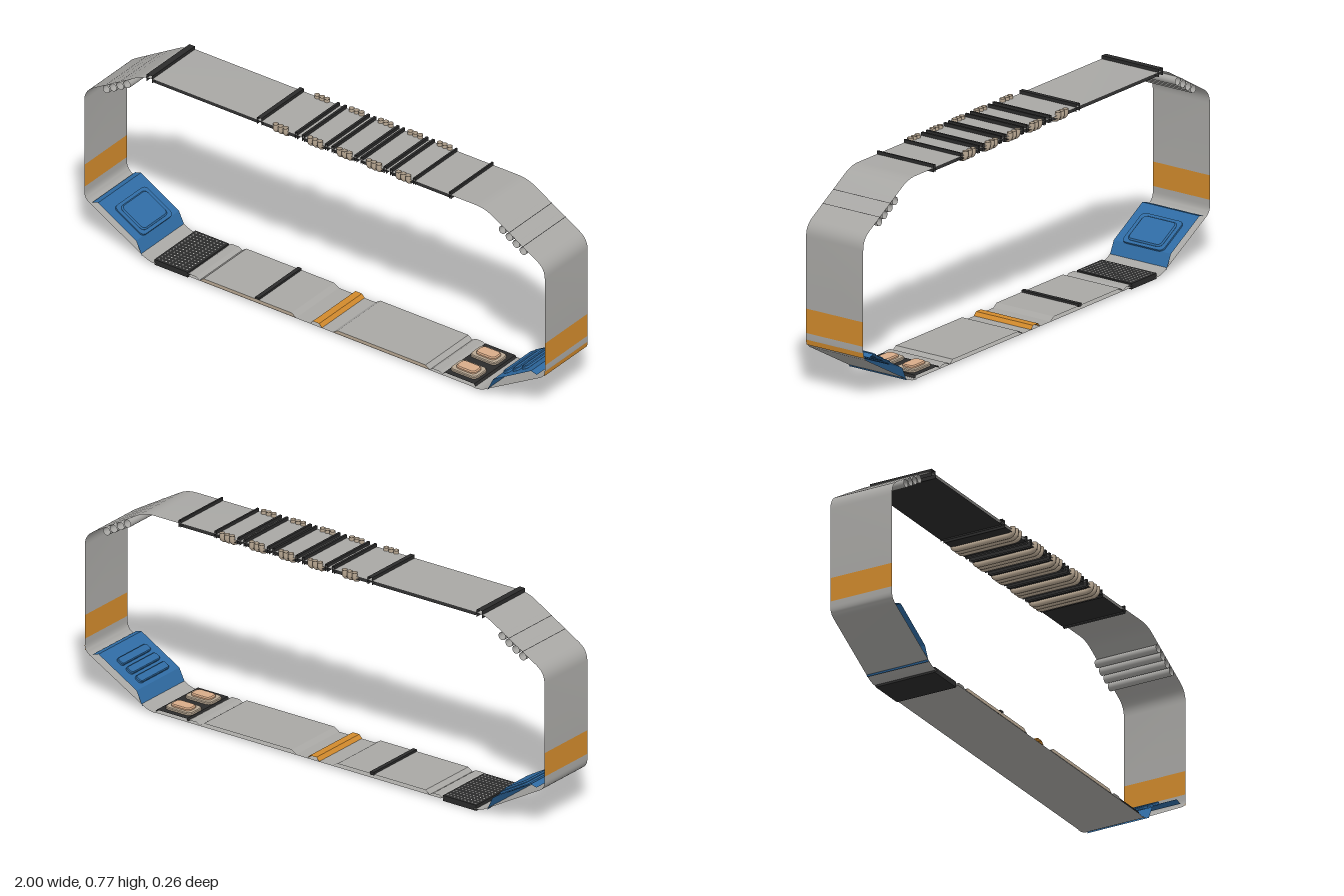
import * as THREE from 'three';
import { toCreasedNormals, mergeGeometries } from 'three/addons/utils/BufferGeometryUtils.js';

const W = 0.25; // corridor width along z

const mat = (name, color) => {
  const m = new THREE.MeshStandardMaterial({ color, side: THREE.DoubleSide });
  m.name = name;
  return m;
};

// Open sheet: a profile in x-y swept along z
function sheet(points, width = W) {
  const pos = [], index = [];
  points.forEach(([x, y], i) => {
    pos.push(x, y, width / 2, x, y, -width / 2);
    if (i) {
      const a = 2 * i - 2;
      index.push(a, a + 1, a + 3, a, a + 3, a + 2);
    }
  });
  const g = new THREE.BufferGeometry();
  g.setAttribute('position', new THREE.Float32BufferAttribute(pos, 3));
  g.setIndex(index);
  return toCreasedNormals(g, 0.5);
}

// Profile with rounded corners
function rounded(pts, r) {
  const v = pts.map(p => new THREE.Vector2(...p));
  const path = new THREE.Path().moveTo(v[0].x, v[0].y);
  for (let i = 1; i < v.length - 1; i++) {
    const a = v[i].clone().add(v[i - 1].clone().sub(v[i]).setLength(r));
    const b = v[i].clone().add(v[i + 1].clone().sub(v[i]).setLength(r));
    path.lineTo(a.x, a.y);
    path.quadraticCurveTo(v[i].x, v[i].y, b.x, b.y);
  }
  const e = v[v.length - 1];
  path.lineTo(e.x, e.y);
  return path.getPoints(6).map(p => [p.x, p.y]);
}

// Rounded plate lying flat, base at y = 0
function plate(w, d, h, r, bevel = 0) {
  const x = w / 2 - bevel, y = d / 2 - bevel;
  const s = new THREE.Shape().moveTo(-x + r, -y);
  s.lineTo(x - r, -y).quadraticCurveTo(x, -y, x, -y + r);
  s.lineTo(x, y - r).quadraticCurveTo(x, y, x - r, y);
  s.lineTo(-x + r, y).quadraticCurveTo(-x, y, -x, y - r);
  s.lineTo(-x, -y + r).quadraticCurveTo(-x, -y, -x + r, -y);
  const g = new THREE.ExtrudeGeometry(s, {
    depth: h - bevel, bevelEnabled: bevel > 0, bevelSize: bevel,
    bevelThickness: bevel, bevelSegments: 1, curveSegments: 5,
  });
  return g.rotateX(-Math.PI / 2);
}

export function createModel() {
  const root = new THREE.Group();
  root.name = 'loopCorridor';
  const gray = mat('hullGray', 0xa8a7a4), black = mat('trimBlack', 0x2b2b2b),
    blue = mat('panelBlue', 0x2f6ba3), orange = mat('bandOrange', 0xd0892c),
    tan = mat('pipeTan', 0xb9a893), pink = mat('hatchPeach', 0xd8ab88);
  const add = (name, geo, m, x = 0, y = 0, z = 0, parent = root) => {
    const mesh = new THREE.Mesh(geo, m);
    mesh.name = name;
    mesh.position.set(x, y, z);
    parent.add(mesh);
    return mesh;
  };
  const box = (w, h, d) => new THREE.BoxGeometry(w, h, d);

  // Ceiling, upper slopes and upper walls
  const top = 0.758;
  add('upperShell', sheet(rounded([[-1, 0.3], [-1, 0.605], [-0.74, top], [0.74, top], [1, 0.605], [1, 0.3]], 0.04)), gray);

  for (const s of [-1, 1]) {
    const side = s < 0 ? 'right' : 'left';
    const flip = pts => pts.map(([x, y]) => [s * x, y]);
    // Wall band and lower slope
    add(side + 'WallBand', sheet([[s, 0.3], [s, 0.21]]), orange);
    add(side + 'LowerShell', sheet(flip(rounded([[1, 0.21], [1, 0.165], [0.72, 0.008], [0.69, 0.008]], 0.025))), gray);
    // Blue cover raised above the slope
    add(side + 'BlueCover', sheet(flip([[0.965, 0.16], [0.94, 0.167], [0.775, 0.072], [0.75, 0.02]])), blue);
    // Seams and round ribs on the upper slope
    for (const x of [0.82, 0.85, 0.88, 0.91]) {
      const rib = new THREE.CylinderGeometry(0.015, 0.015, W, 14, 1, true).rotateX(Math.PI / 2);
      add(side + 'SlopeRib', rib, gray, s * (x - 0.005), top - (x - 0.74) * 0.588 - 0.014);
    }
    for (const x of [0.845, 0.905]) {
      const y = top - (x - 0.74) * 0.588 + 0.001;
      add(side + 'SlopeSeam', sheet(flip([[x - 0.001, y + 0.0006], [x + 0.001, y - 0.0006]])), black);
    }
  }
  add('leftLowerBand', sheet([[1.0005, 0.186], [0.998, 0.167]]), orange);

  // Raised pad on the right cover
  const pad = new THREE.Group();
  pad.name = 'rightPad';
  pad.position.set(-0.8375, 0.106, 0);
  pad.rotation.z = -Math.PI / 6;
  root.add(pad);
  add('padFrame', plate(0.145, 0.18, 0.008, 0.02), blue, 0, 0, 0, pad);
  add('padCushion', plate(0.12, 0.15, 0.014, 0.016, 0.005), blue, 0, 0, 0, pad);

  // Three slots on the left cover
  const slots = new THREE.Group();
  slots.name = 'leftSlots';
  slots.position.set(0.842, 0.111, 0);
  slots.rotation.z = Math.PI / 6;
  root.add(slots);
  for (const x of [-0.046, 0, 0.046]) add('slot', plate(0.032, 0.17, 0.01, 0.009, 0.003), blue, x, 0, 0, slots);

  // Floor
  add('floor', sheet([[-0.55, 0.01], [0.7, 0.01]]), gray);
  for (const s of [-1, 1]) {
    const prof = [[s * 0.5, 0.011], [s * 0.482, 0.024], [s * 0.1, 0.024], [s * 0.08, 0.011]];
    add('floorPlate', sheet(prof), gray);
    const cap = new THREE.ShapeGeometry(new THREE.Shape(prof.map(p => new THREE.Vector2(...p))));
    add('floorPlateEdge', cap, tan, 0, 0, W / 2);
  }
  add('floorSeal', box(0.016, 0.012, W), black, -0.25, 0.026);
  add('floorStripe', sheet([[-0.02, 0.011], [-0.008, 0.024], [0.02, 0.024], [0.032, 0.011]]), orange);
  add('floorSill', sheet([[0.5, 0.011], [0.515, 0.02], [0.545, 0.02], [0.56, 0.011]]), gray);
  add('floorSill', sheet([[-0.56, 0.011], [-0.545, 0.02], [-0.515, 0.02], [-0.5, 0.011]]), gray);

  // Perforated floor grate
  add('grate', box(0.145, 0.021, 0.24), black, -0.627, 0.0105);
  const dots = [];
  for (let i = 0; i < 9; i++) for (let j = 0; j < 14; j++) {
    dots.push(new THREE.CircleGeometry(0.0032, 6).rotateX(-Math.PI / 2)
      .translate(-0.627 + (i - 4) * 0.015, 0.0217, (j - 6.5) * 0.0165));
  }
  add('grateHoles', mergeGeometries(dots), gray);

  // Twin floor hatches
  add('hatchBase', sheet([[0.555, 0.011], [0.56, 0.02], [0.69, 0.02], [0.695, 0.011]], 0.24), black);
  for (const z of [-0.058, 0.058]) {
    add('hatchFrame', plate(0.115, 0.08, 0.009, 0.02, 0.003), tan, 0.62, 0.02, z);
    add('hatchLid', plate(0.085, 0.052, 0.018, 0.016, 0.004), pink, 0.62, 0.02, z);
  }

  // Ceiling trim bars, open at the ends
  const bars = [[-0.717, 0.024], [-0.24, 0.018], [-0.08, 0.009], [-0.05, 0.009], [0.05, 0.009], [0.078, 0.009],
    [0.178, 0.009], [0.203, 0.009], [0.305, 0.009], [0.332, 0.009], [0.432, 0.007], [0.588, 0.007]];
  for (const [x, w] of bars) {
    const a = x - w / 2, b = x + w / 2;
    add('ceilingBar', sheet([[a, 0.742], [a, 0.77], [b, 0.77], [b, 0.742]]), black);
  }

  // Dark lining under the ceiling
  for (const [a, b] of [[-0.705, -0.245], [-0.235, -0.08], [-0.05, 0.05], [0.078, 0.178], [0.203, 0.305], [0.332, 0.432], [0.432, 0.588]]) {
    add('ceilingLining', sheet([[a, top - 0.002], [a + 0.006, 0.747], [b - 0.006, 0.747], [b, top - 0.002]]), black);
  }

  // Bundles of three pipes, turned up at both ends
  const V = (y, z) => new THREE.Vector3(0, y, z);
  const curve = new THREE.CurvePath();
  curve.add(new THREE.LineCurve3(V(0.77, -0.121), V(0.758, -0.121)));
  curve.add(new THREE.QuadraticBezierCurve3(V(0.758, -0.121), V(0.74, -0.121), V(0.74, -0.1)));
  curve.add(new THREE.LineCurve3(V(0.74, -0.1), V(0.74, 0.1)));
  curve.add(new THREE.QuadraticBezierCurve3(V(0.74, 0.1), V(0.74, 0.121), V(0.758, 0.121)));
  curve.add(new THREE.LineCurve3(V(0.758, 0.121), V(0.77, 0.121)));
  const pipe = new THREE.TubeGeometry(curve, 60, 0.0105, 10);
  for (const x of [-0.15, 0, 0.127, 0.255, 0.383]) {
    for (const i of [-1, 0, 1]) add('ceilingPipe', pipe, tan, x + i * 0.0215);
  }
  return root;
}
